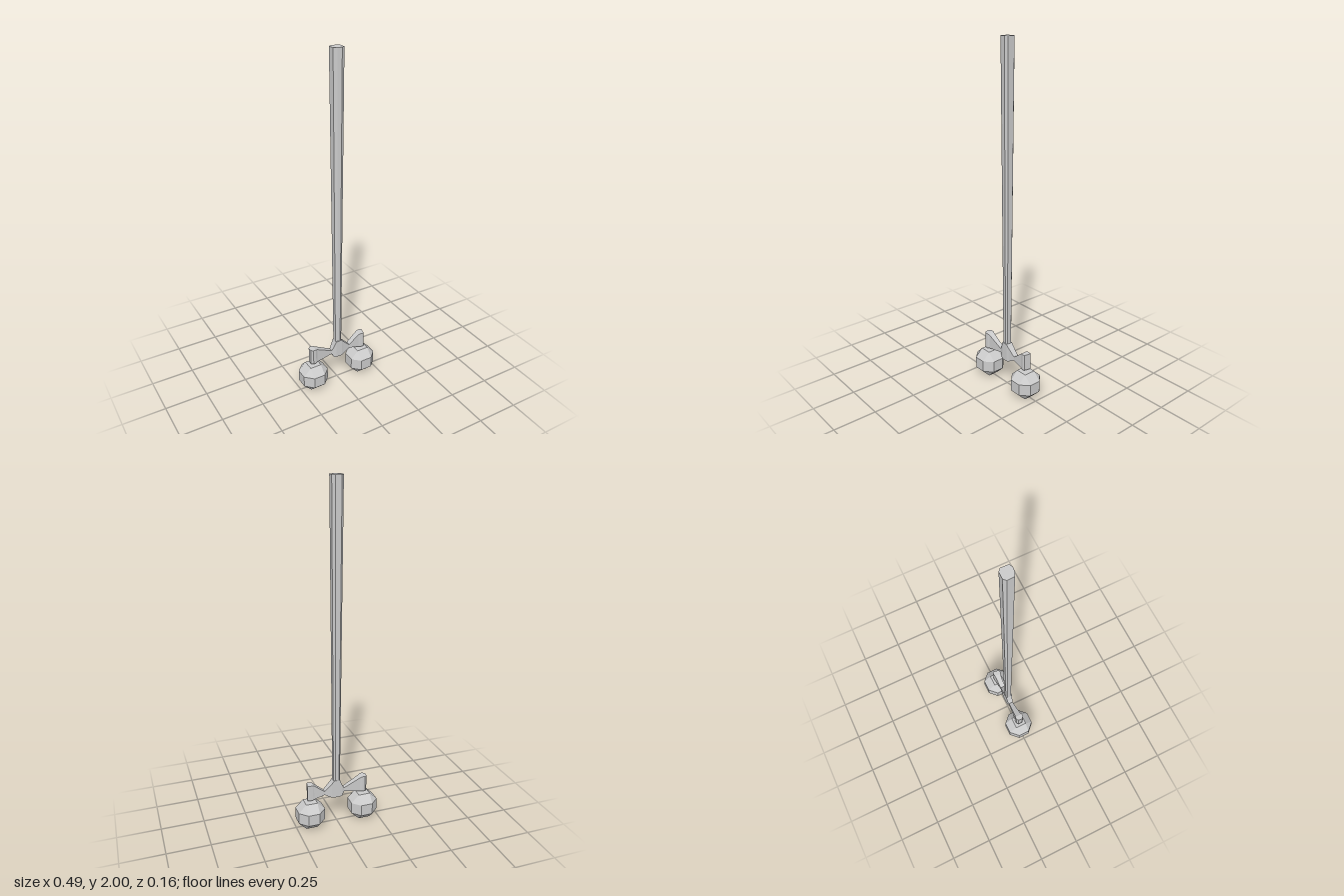
import * as THREE from 'three';
import { ConvexGeometry } from 'three/addons/geometries/ConvexGeometry.js';

const material = new THREE.MeshStandardMaterial({ color: 0xcccccc, flatShading: true });

// Closed faceted solid through rings of points (each counterclockwise seen from the last ring's side)
function loft(rings) {
  const pos = [];
  const tri = (a, b, c) => pos.push(...a, ...b, ...c);
  const n = rings[0].length;
  for (let r = 0; r < rings.length - 1; r++) {
    const a = rings[r], b = rings[r + 1];
    for (let i = 0; i < n; i++) {
      const j = (i + 1) % n;
      tri(a[i], a[j], b[j]);
      tri(a[i], b[j], b[i]);
    }
  }
  const first = rings[0], last = rings[rings.length - 1];
  for (let i = 1; i < n - 1; i++) {
    tri(first[0], first[i + 1], first[i]);
    tri(last[0], last[i], last[i + 1]);
  }
  const geometry = new THREE.BufferGeometry();
  geometry.setAttribute('position', new THREE.Float32BufferAttribute(pos, 3));
  geometry.computeVertexNormals();
  return geometry;
}

// Ball with square faces on the axes, bevelled edges and triangular corners
function ballGeometry(inner, outer) {
  const points = [];
  for (const sx of [-1, 1]) for (const sy of [-1, 1]) for (const sz of [-1, 1]) {
    for (let axis = 0; axis < 3; axis++) {
      const p = [inner, inner, inner];
      p[axis] = outer;
      points.push(new THREE.Vector3(sx * p[0], sy * p[1], sz * p[2]));
    }
  }
  return new ConvexGeometry(points);
}

export function createModel() {
  const model = new THREE.Group();
  const add = (name, geometry) => {
    const mesh = new THREE.Mesh(geometry, material);
    mesh.name = name;
    model.add(mesh);
    return mesh;
  };

  // Tapered, slightly irregular eight-sided pole
  const outline = [
    [0.013, 0.03], [0.031, 0.02], [0.032, -0.02], [0.018, -0.033],
    [-0.018, -0.033], [-0.032, -0.02], [-0.031, 0.018], [-0.012, 0.027],
  ];
  const poleRing = (y, s, dx, dz) => outline.map(([x, z]) => [x * s + dx, y, z * s + dz]);
  add('pole', loft([poleRing(0.26, 0.62, 0.002, 0.003), poleRing(2, 1, 0, 0)]));

  // Crossbar with a central hub and flared ends: x, bottom, top, back z, front z
  const stations = [
    [-0.184, 0.175, 0.272, -0.012, 0.014],
    [-0.172, 0.175, 0.272, -0.022, 0.025],
    [-0.155, 0.175, 0.272, -0.022, 0.025],
    [-0.143, 0.177, 0.266, -0.018, 0.019],
    [-0.043, 0.192, 0.215, -0.012, 0.013],
    [-0.03, 0.167, 0.238, -0.017, 0.018],
    [-0.016, 0.165, 0.275, -0.018, 0.023],
    [0.021, 0.165, 0.275, -0.018, 0.024],
    [0.034, 0.168, 0.258, -0.018, 0.021],
    [0.078, 0.192, 0.215, -0.014, 0.015],
    [0.143, 0.178, 0.267, -0.018, 0.019],
    [0.15, 0.176, 0.272, -0.02, 0.022],
    [0.168, 0.175, 0.272, -0.021, 0.025],
    [0.176, 0.175, 0.272, -0.021, 0.022],
    [0.183, 0.175, 0.272, -0.018, -0.014],
  ];
  add('crossbar', loft(stations.map(([x, y0, y1, z0, z1]) =>
    [[x, y0, z0], [x, y1, z0], [x, y1, z1], [x, y0, z1]])));

  // Faceted ball under each end of the crossbar
  const ball = ballGeometry(0.034, 0.08);
  for (const [name, side] of [['leftBall', 1], ['rightBall', -1]]) {
    add(name, ball).position.set(side * 0.163, 0.08, 0);
  }

  return model;
}
